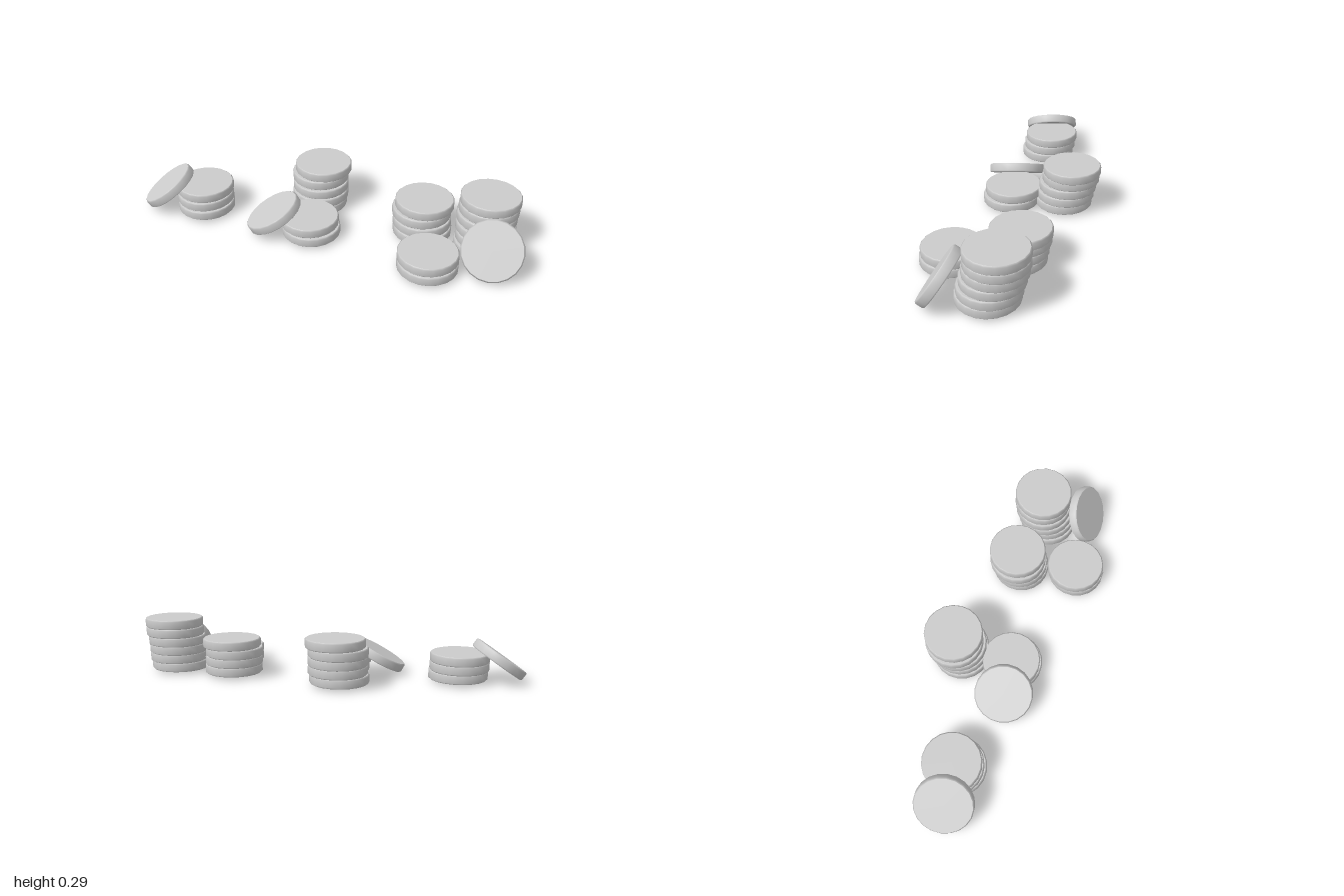
import * as THREE from 'three';

const R = 0.148;      // coin radius
const T = 0.046;      // coin thickness
const BASE = 0.015;   // underside of the stacks
const SIDES = 20;

// Disc with a small bevel; doubled points keep the flat faces crisp
function coinGeometry() {
  const h = T / 2, b = 0.006;
  const profile = [
    [0, -h], [R - b, -h], [R - b, -h], [R, -h + b],
    [R, h - b], [R - b, h], [R - b, h], [0, h],
  ].map(([x, y]) => new THREE.Vector2(x, y));
  return new THREE.LatheGeometry(profile, SIDES);
}

// Coin centres [x, z] from bottom to top
const stacks = {
  leftStack: [[-0.67, 0.125], [-0.677, 0.115], [-0.68, 0.106]],
  middleFrontStack: [[-0.06, 0.125], [-0.072, 0.117]],
  middleBackStack: [[-0.13, -0.141], [-0.125, -0.151], [-0.128, -0.162], [-0.135, -0.176], [-0.122, -0.185]],
  rightInnerStack: [[0.458, -0.093], [0.452, -0.1], [0.445, -0.109], [0.456, -0.118]],
  rightOuterStack: [[0.775, -0.084], [0.778, -0.095], [0.772, -0.107], [0.77, -0.12], [0.775, -0.129], [0.778, -0.13]],
  rightFrontStack: [[0.568, 0.185], [0.565, 0.178]],
};

// Coins propped against a stack: centre, tilt and heading of the raised edge (degrees)
const leaning = [
  { name: 'leftLeaningCoin', at: [-0.867, 0.117, 0.165], tilt: 35, heading: 20 },
  { name: 'middleLeaningCoin', at: [-0.25, 0.101, 0.165], tilt: 29, heading: 18 },
  { name: 'rightLeaningCoin', at: [0.85, 0.136, 0.105], tilt: 57, heading: 97 },
];

export function createModel() {
  const model = new THREE.Group();
  model.name = 'coinPiles';
  const geometry = coinGeometry();
  const material = new THREE.MeshStandardMaterial({ color: 0xcccccc });

  // Upright stacks, each coin turned a little
  for (const [name, centres] of Object.entries(stacks)) {
    const stack = new THREE.Group();
    stack.name = name;
    centres.forEach(([x, z], i) => {
      const coin = new THREE.Mesh(geometry, material);
      coin.name = 'coin';
      coin.position.set(x, BASE + T * (i + 0.5), z);
      coin.rotation.y = i * 0.13;
      stack.add(coin);
    });
    model.add(stack);
  }

  // Leaning coins
  for (const { name, at, tilt, heading } of leaning) {
    const coin = new THREE.Mesh(geometry, material);
    coin.name = name;
    coin.position.set(...at);
    coin.rotation.order = 'YXZ';
    coin.rotation.y = THREE.MathUtils.degToRad(heading);
    coin.rotation.z = THREE.MathUtils.degToRad(tilt);
    model.add(coin);
  }
  return model;
}
